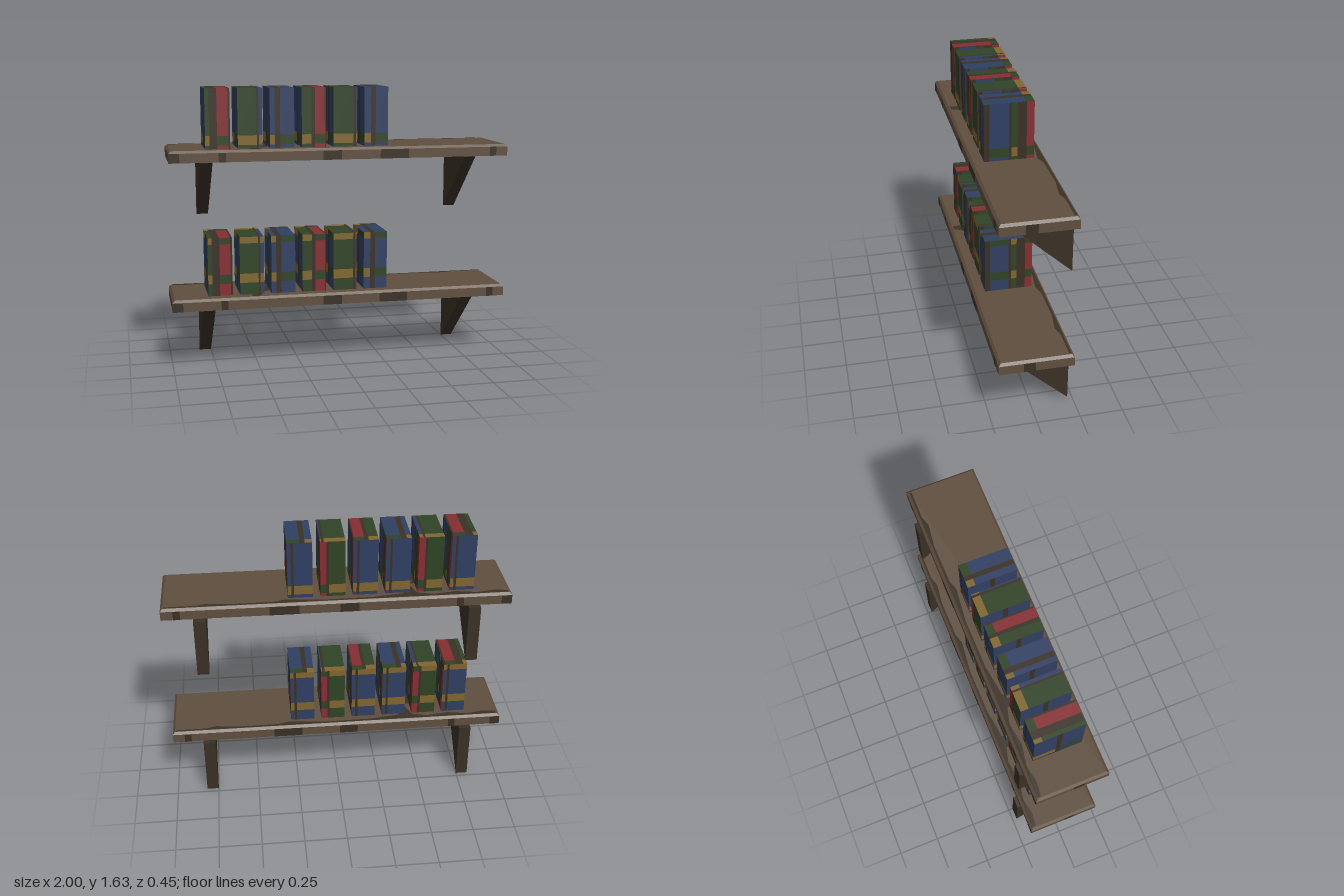
import * as THREE from 'three';
import { mergeGeometries } from 'three/addons/utils/BufferGeometryUtils.js';

const HEX = { wood: 0x5f4e3e, darkWood: 0x3a3025, green: 0x2f4325, red: 0x862d32, blue: 0x303f62, gold: 0x80652f };
const BOOK = { w: 0.142, h: 0.343, d: 0.285 };
const SHELF = { h: 0.068, front: 0.22, back: -0.205, bevel: 0.014 };

// Columns of a book face: [end fraction, colour, colour of the bands crossing it]
const G = 'green', R = 'red', B = 'blue', D = 'darkWood', O = 'gold';
const FRONTS = [
  [[0.17, G, O], [0.48, D, D], [0.92, R, G], [1, D, D]],
  [[0.77, G, O], [0.85, D, D], [1, B, O]],
  [[0.2, B, O], [0.42, D, D], [1, B, G]],
  [[0.4, G, O], [0.55, D, D], [0.95, R, G], [1, D, D]],
  [[0.85, G, O], [0.95, D, D], [1, B, O]],
  [[0.28, B, O], [0.48, D, D], [1, B, G]],
];
const BLUE_BACK = [[0.15, B, O], [0.25, D, D], [1, B, O]];
const RED_BACK = [[0.25, R, G], [0.35, D, D], [1, G, O]];
const BACKS = [BLUE_BACK, RED_BACK, BLUE_BACK, BLUE_BACK, RED_BACK, BLUE_BACK];
const RIGHT_SIDE = [[0.11, D, D], [0.5, B, G], [0.55, D, D], [0.67, G, O], [0.85, D, D], [1, R, G]];
const LEFT_SIDE = [[0.45, B, O], [0.55, D, D], [1, B, G]];

export function createModel() {
  const root = new THREE.Group();
  root.name = 'wallShelves';
  const mats = {};
  for (const [name, color] of Object.entries(HEX)) {
    mats[name] = new THREE.MeshStandardMaterial({ color });
    mats[name].name = name;
  }
  const add = (parent, name, geo, mat) => {
    const mesh = new THREE.Mesh(geo, mats[mat]);
    mesh.name = name;
    parent.add(mesh);
    return mesh;
  };

  // One book face: coloured columns cut by horizontal bands, then placed by a matrix
  function face(parts, w, h, cols, bands, matrix) {
    let x0 = 0;
    for (const [x1, base, accent] of cols) {
      let y0 = 0;
      const piece = (y1, color) => {
        if (y1 - y0 < 1e-4) return;
        const g = new THREE.PlaneGeometry((x1 - x0) * w, y1 - y0);
        g.translate(((x0 + x1) / 2 - 0.5) * w, (y0 + y1) / 2 - h / 2, 0).applyMatrix4(matrix);
        (parts[color] ??= []).push(g);
        y0 = y1;
      };
      for (const [a, b] of bands) { piece(a, base); piece(b, accent); }
      piece(h, base);
      x0 = x1;
    }
  }

  function makeBook(i, bands) {
    const { w, h, d } = BOOK;
    const parts = {};
    const at = (x, y, z, rx, ry) => new THREE.Matrix4()
      .makeRotationFromEuler(new THREE.Euler(rx, ry, 0)).setPosition(x, y, z);
    face(parts, w, h, FRONTS[i], bands, at(0, h / 2, d / 2, 0, 0));
    face(parts, w, h, BACKS[i], bands, at(0, h / 2, -d / 2, 0, Math.PI));
    face(parts, d, h, RIGHT_SIDE, bands, at(w / 2, h / 2, 0, 0, Math.PI / 2));
    face(parts, d, h, LEFT_SIDE, bands, at(-w / 2, h / 2, 0, 0, -Math.PI / 2));
    face(parts, w, d, FRONTS[i], [[d - 0.045, d]], at(0, h, 0, -Math.PI / 2, 0));
    const book = new THREE.Group();
    book.name = 'book';
    for (const [color, list] of Object.entries(parts)) add(book, color + 'Cover', mergeGeometries(list), color);
    return book;
  }

  // Board with a chamfered top edge
  function boardGeometry() {
    const { h, front, back, bevel } = SHELF;
    const depth = front - back;
    const g = new THREE.BoxGeometry(2, h, depth, 1, 2, 1);
    const p = g.attributes.position;
    for (let i = 0; i < p.count; i++) {
      if (p.getY(i) > 0.001) {
        p.setX(i, p.getX(i) - Math.sign(p.getX(i)) * bevel);
        p.setZ(i, p.getZ(i) - Math.sign(p.getZ(i)) * bevel);
      } else if (p.getY(i) > -0.001) p.setY(i, h / 2 - bevel);
    }
    const flat = g.toNonIndexed().translate(0, h / 2, (front + back) / 2);
    flat.computeVertexNormals();
    return flat;
  }

  // Flat stain from [x, z] points, facing up or down
  function stain(points, y, up) {
    const shape = new THREE.Shape(points.map(([x, z]) => new THREE.Vector2(x, up ? -z : z)));
    return new THREE.ShapeGeometry(shape).rotateX(up ? -Math.PI / 2 : Math.PI / 2).translate(0, y, 0);
  }

  function makeTier(bands) {
    const tier = new THREE.Group();
    const { h, front, back, bevel } = SHELF;
    add(tier, 'board', boardGeometry(), 'wood');

    // Dark wood grain on the board's edges
    const edgeH = h - bevel, skin = 0.0015;
    for (const [a, b] of [[-1, -0.94], [-0.72, -0.68], [-0.12, -0.01], [0.22, 0.39], [0.89, 0.93]]) {
      for (const [z, turn] of [[front + skin, 0], [back - skin, Math.PI]]) {
        const g = new THREE.PlaneGeometry(b - a, edgeH).rotateY(turn);
        add(tier, 'edgeGrain', g.translate((a + b) / 2, edgeH / 2, z), 'darkWood');
      }
    }
    for (const s of [-1, 1]) {
      const g = new THREE.PlaneGeometry(0.065, edgeH).rotateY(s * Math.PI / 2);
      add(tier, 'endGrain', g.translate(s * (1 + skin * 0.1), edgeH / 2, 0.047), 'darkWood');
    }

    // Dark stains on top and underneath
    const zb = back + bevel;
    const topStains = [
      [[-0.98, zb], [0.98, zb], [0.98, -0.178], [0.8, -0.178], [0.74, -0.16], [0.6, -0.178], [0.36, -0.175],
        [0.3, -0.155], [0.1, -0.178], [-0.2, -0.175], [-0.3, -0.16], [-0.38, -0.15], [-0.42, -0.04], [-0.46, -0.15],
        [-0.55, -0.175], [-0.68, -0.155], [-0.8, -0.178], [-0.9, -0.16], [-0.98, -0.17]],
      [[-0.46, -0.04], [-0.41, -0.04], [-0.41, 0.09], [-0.46, 0.09]],
      [[-0.53, 0.14], [-0.47, 0.14], [-0.49, 0.2], [-0.54, 0.2]],
    ];
    for (const s of topStains) {
      add(tier, 'topGrain', stain([...s].reverse(), h + skin, true), 'darkWood');
    }
    add(tier, 'undersideGrain', stain([[0.24, 0.21], [0, 0.21], [0.03, 0.09], [-0.08, -0.03],
      [-0.03, -0.1], [0.08, -0.06], [0.12, 0.07], [0.22, 0.12]], -skin, false), 'darkWood');

    // Triangular wall brackets
    const tri = new THREE.Shape([[0.224, -0.364], [0.224, -0.009], [-0.165, -0.009]].map(p => new THREE.Vector2(...p)));
    for (const x of [-0.785, 0.785]) {
      const g = new THREE.ExtrudeGeometry(tri, { depth: 0.07, bevelEnabled: false });
      g.translate(0, 0, -0.035).rotateY(Math.PI / 2);
      add(tier, 'bracket', g.translate(x, 0, 0), 'darkWood');
    }

    // Row of evenly spaced books
    FRONTS.forEach((_, i) => {
      const book = makeBook(i, bands);
      book.position.set(-0.717 + i * 0.1855, h, 0.005);
      tier.add(book);
    });
    return tier;
  }

  const lower = makeTier([[0.07, 0.125], [0.305, BOOK.h]]);
  lower.name = 'lowerShelf';
  lower.position.y = 0.364;
  const upper = makeTier([[0.02, 0.075]]);
  upper.name = 'upperShelf';
  upper.position.y = 1.222;
  root.add(lower, upper);
  return root;
}
